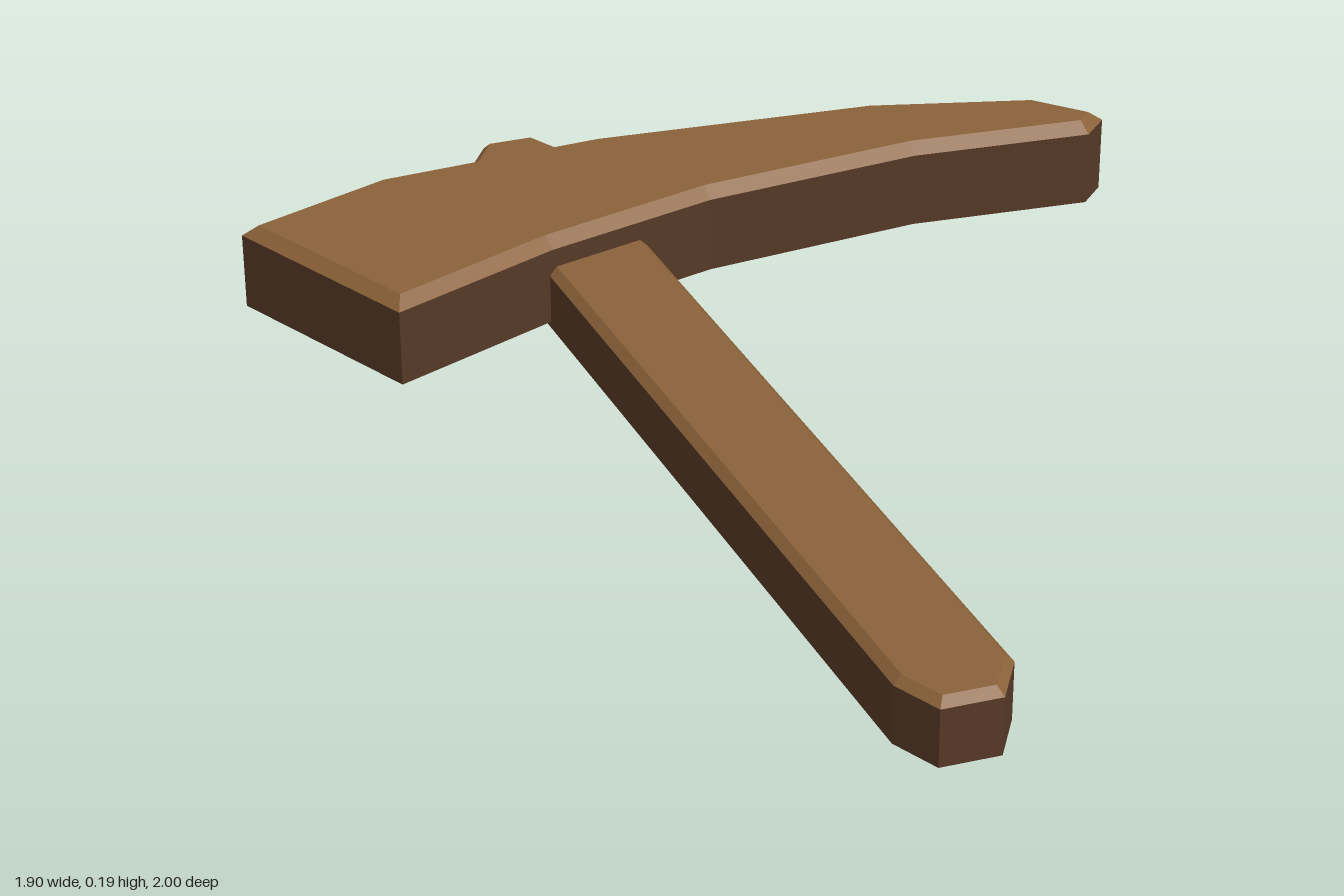
import * as THREE from 'three';

// Moves every edge of a counter-clockwise outline inward by d
function inset(points, d) {
  const n = points.length;
  return points.map((p, i) => {
    const a = p.clone().sub(points[(i + n - 1) % n]).normalize();
    const b = points[(i + 1) % n].clone().sub(p).normalize();
    const na = new THREE.Vector2(-a.y, a.x);
    const nb = new THREE.Vector2(-b.y, b.x);
    return p.clone().addScaledVector(na.clone().add(nb), d / (1 + na.dot(nb)));
  });
}

// Flat slab with straight sides and a chamfered top rim; outline is [x, z].
// Material group 0 is the walls and underside, group 1 the chamfer and top.
function slab(outline, bottom, shoulder, top, chamfer) {
  const base = outline.map(([x, z]) => new THREE.Vector2(x, -z));
  const rim = inset(base, chamfer);
  const ring = (pts, y) => pts.map((p) => [p.x, y, -p.y]);
  const low = ring(base, bottom), mid = ring(base, shoulder), high = ring(rim, top);
  const pos = [];
  const tri = (a, b, c) => pos.push(...a, ...b, ...c);
  const band = (lo, hi) => lo.forEach((p, i) => {
    const j = (i + 1) % lo.length;
    tri(p, lo[j], hi[j]);
    tri(p, hi[j], hi[i]);
  });

  // walls and underside
  band(low, mid);
  for (const [a, b, c] of THREE.ShapeUtils.triangulateShape(base, [])) {
    tri(low[c], low[b], low[a]);
  }
  const split = pos.length / 3;

  // chamfer and top
  band(mid, high);
  for (const [a, b, c] of THREE.ShapeUtils.triangulateShape(rim, [])) {
    tri(high[a], high[b], high[c]);
  }

  const geometry = new THREE.BufferGeometry();
  geometry.setAttribute('position', new THREE.Float32BufferAttribute(pos, 3));
  geometry.addGroup(0, split, 0);
  geometry.addGroup(split, pos.length / 3 - split, 1);
  geometry.computeVertexNormals();
  return geometry;
}

export function createModel() {
  const group = new THREE.Group();
  group.name = 'pickHammer';
  const darkWood = new THREE.MeshStandardMaterial({ color: 0x563927 });
  darkWood.name = 'dark brown wood';
  const wood = new THREE.MeshStandardMaterial({ color: 0x8b6239 });
  wood.name = 'brown wood';
  const materials = [darkWood, wood];

  // Curved head: broad striking end tapering to a blunt pick
  const head = new THREE.Mesh(slab([
    [-0.95, 0.21], [-0.52, 0.34], [-0.38, -0.005], [-0.2, -0.325],
    [0.085, -0.68], [0.365, -0.925], [0.365, -1], [0.21, -1],
    [-0.085, -0.825], [-0.52, -0.44], [-0.82, -0.09],
  ], 0.014, 0.17, 0.193, 0.023), materials);
  head.name = 'head';

  // Diagonal handle with clipped ends, running under the head
  const handle = new THREE.Mesh(slab([
    [-0.768, -0.42], [-0.74, -0.295], [0.775, 0.97], [0.87, 0.998],
    [0.95, 0.92], [0.925, 0.82], [-0.6, -0.47], [-0.695, -0.495],
  ], 0, 0.115, 0.131, 0.016), materials);
  handle.name = 'handle';

  group.add(head, handle);
  return group;
}
